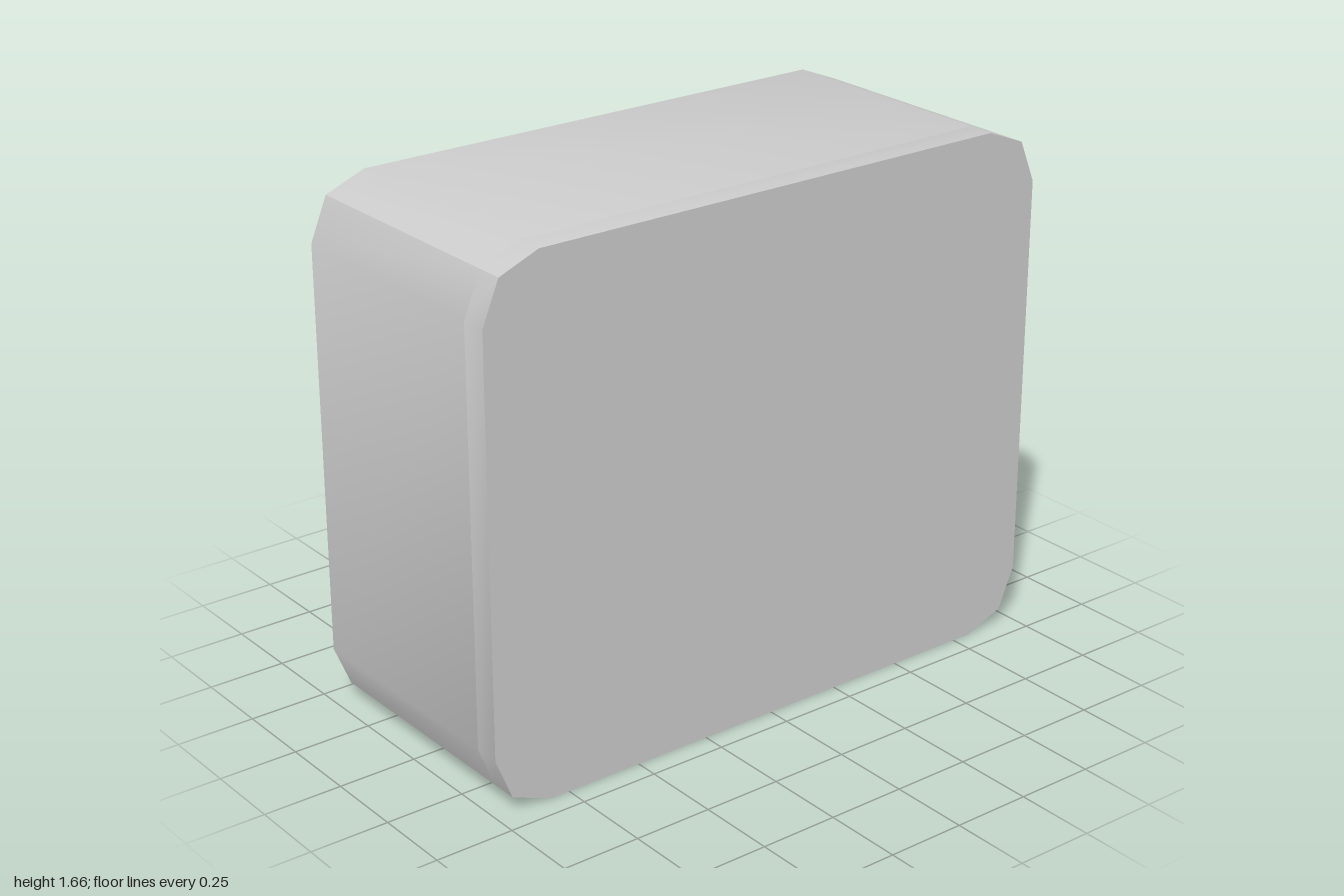
import * as THREE from 'three';
import { toCreasedNormals } from 'three/addons/utils/BufferGeometryUtils.js';

const HALF_DEPTH = 0.427, WALL = 0.085, HEIGHT = 1.66;
const material = new THREE.MeshStandardMaterial({ color: 0xcccccc });

function addMesh(parent, name, geometry, crease = 0.75) {
  const mesh = new THREE.Mesh(toCreasedNormals(geometry, crease), material);
  mesh.name = name;
  parent.add(mesh);
  return mesh;
}

// Casing outline with two-step bevelled corners, drawn in the z-y plane
function casingShape() {
  const corner = [[1, 1.475], [0.945, 1.608], [0.815, HEIGHT]];
  const mirrorZ = corner.map(([z, y]) => [-z, y]).reverse();
  const top = [...corner, ...mirrorZ];
  const bottom = top.map(([z, y]) => [z, HEIGHT - y]).reverse();
  return new THREE.Shape([...top, ...bottom].map(([z, y]) => new THREE.Vector2(z, y)));
}

// Extrude towards -x, starting at the given x
function extrudeAcross(shape, depth, startX) {
  return new THREE.ExtrudeGeometry(shape, { depth, bevelEnabled: false })
    .rotateY(-Math.PI / 2).translate(startX, 0, 0);
}

// Upright canister with a neck at each end and a thin side bracket
function createCanister() {
  const group = new THREE.Group();
  group.name = 'canister';
  const half = [[0, 0.085], [0.1, 0.085], [0.12, 0.105], [0.12, 0.25], [0.135, 0.25], [0.153, 0.29]];
  const profile = [...half, ...half.map(([r, y]) => [r, HEIGHT - y]).reverse()];
  const body = new THREE.LatheGeometry(profile.map(([r, y]) => new THREE.Vector2(r, y)), 12);
  addMesh(group, 'canisterBody', body, 0.7);

  // Bracket follows the shoulders from neck to neck
  const outline = [[0.11, 0.225], [0.15, 0.235], [0.182, 0.29], [0.182, 1.37], [0.15, 1.425], [0.11, 1.435]];
  const shape = new THREE.Shape(outline.map(([x, y]) => new THREE.Vector2(x, y)));
  const bracket = new THREE.ExtrudeGeometry(shape, { depth: 0.06, bevelEnabled: false }).translate(0, 0, -0.03);
  addMesh(group, 'canisterBracket', bracket).rotation.y = -Math.PI * 0.72;
  return group;
}

export function createModel() {
  const model = new THREE.Group();
  model.name = 'canisterCabinet';

  // Closed wall on +x, and the frame around the cavity open to -x
  const backX = HALF_DEPTH - WALL;
  addMesh(model, 'backWall', extrudeAcross(casingShape(), WALL, HALF_DEPTH));
  const frame = casingShape();
  frame.holes.push(new THREE.Path([[-0.9, WALL], [-0.9, HEIGHT - WALL], [0.9, HEIGHT - WALL], [0.9, WALL]]
    .map(([z, y]) => new THREE.Vector2(z, y))));
  addMesh(model, 'casingFrame', extrudeAcross(frame, HALF_DEPTH + backX, backX));

  // Row of three canisters
  for (const z of [-0.53, 0, 0.53]) {
    const canister = createCanister();
    canister.position.set(-0.13, 0, z);
    model.add(canister);
  }
  return model;
}
